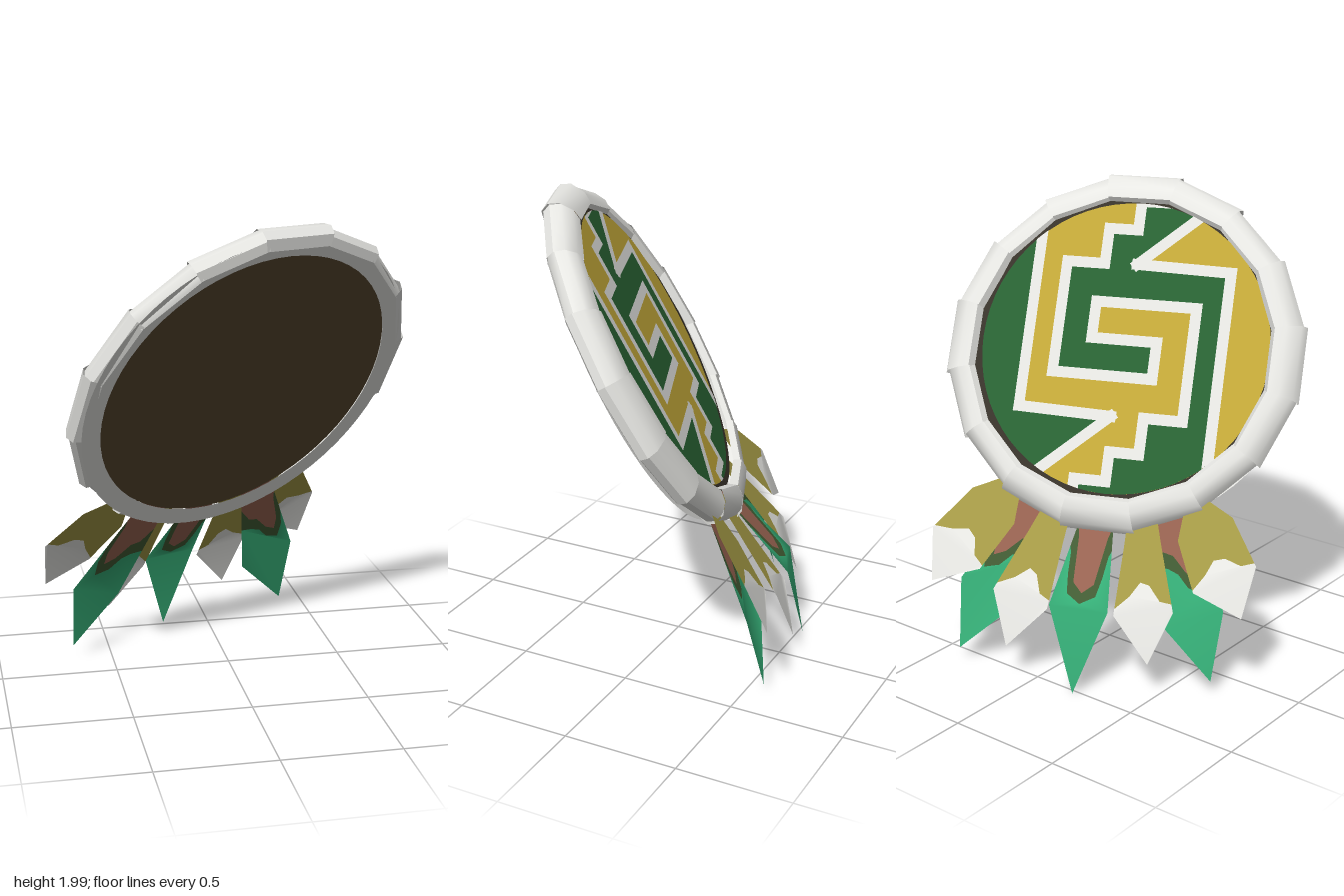
import * as THREE from 'three';
import { toCreasedNormals } from 'three/addons/utils/BufferGeometryUtils.js';

const mat = (name, color, side = THREE.FrontSide) => {
  const m = new THREE.MeshStandardMaterial({ color, side });
  m.name = name;
  return m;
};
const D = THREE.DoubleSide;
const M = {
  rim: mat('bone white', 0xeeeeea, D),
  dark: mat('dark wood', 0x594830),
  edge: mat('dark edge', 0x39342b),
  yellow: mat('ochre yellow', 0xc5aa39),
  green: mat('forest green', 0x296434),
  line: mat('line white', 0xeaeae6),
  teal: mat('feather green', 0x35ad76, D),
  maroon: mat('feather maroon', 0x986351, D),
  moss: mat('feather moss', 0x425c34, D),
  olive: mat('feather olive', 0xa59a46, D),
};

const FACE_R = 0.637, FACE_H = 0.09, N = 64;

function add(parent, name, geometry, material) {
  const mesh = new THREE.Mesh(geometry, material);
  mesh.name = name;
  parent.add(mesh);
  return mesh;
}

const polyGeometry = (pts) => new THREE.ShapeGeometry(new THREE.Shape(pts.map(([x, y]) => new THREE.Vector2(x, y))));

// Cut a polygon to the round face
function clipToFace(pts) {
  const corner = (i) => [FACE_R * Math.cos((i * 2 * Math.PI) / N), FACE_R * Math.sin((i * 2 * Math.PI) / N)];
  let out = pts;
  for (let i = 0; i < N && out.length; i++) {
    const a = corner(i), b = corner(i + 1);
    const side = (p) => (b[0] - a[0]) * (p[1] - a[1]) - (b[1] - a[1]) * (p[0] - a[0]);
    const src = out;
    out = [];
    src.forEach((p, k) => {
      const q = src[(k + 1) % src.length], sp = side(p), sq = side(q);
      if (sp >= 0) out.push(p);
      if ((sp >= 0) !== (sq >= 0)) {
        const t = sp / (sp - sq);
        out.push([p[0] + (q[0] - p[0]) * t, p[1] + (q[1] - p[1]) * t]);
      }
    });
  }
  return out;
}

function addPatch(parent, name, pts, material, h) {
  const clipped = clipToFace(pts);
  if (clipped.length > 2) add(parent, name, polyGeometry(clipped), material).position.z = h;
}

function paintedFace() {
  const g = new THREE.Group();
  g.name = 'paintedFace';
  const lift = ([x, y]) => [x, y + 0.03];
  const turn = ([x, y]) => [-x, -y];

  // Interlocking spiral: one half, the other is the same turned by 180 degrees
  const half = [[-0.145, 0], [-0.145, 0.161], [0.3, 0.161], [0.3, -0.33], [0.13, -0.33],
    [0.13, -0.487], [0, -0.487], [0, -0.615], [-0.14, -0.615], [-0.14, -0.9]];
  const spiral = [...half.map(turn).reverse(), ...half].map(lift);
  const hookRaw = [[0.43, -0.9], [0.43, 0.325], [0.015, 0.335], [0.55, 0.81]];
  const hook = hookRaw.map(lift), hookTurned = hookRaw.map(turn).map(lift);

  add(g, 'faceEdge', new THREE.RingGeometry(FACE_R - 0.002, 0.673, N), M.edge).position.z = FACE_H;
  add(g, 'faceGround', new THREE.CircleGeometry(FACE_R, N), M.yellow).position.z = FACE_H + 0.001;
  addPatch(g, 'greenSide', [...hookTurned, [-1.2, -0.8], [-1.2, 0.9]], M.green, FACE_H + 0.003);
  addPatch(g, 'greenSpiral', [...spiral, ...hook, [0.5, 1.2], [0.14, 1.2]], M.green, FACE_H + 0.003);

  const w = 0.024;
  for (const path of [spiral, hook, hookTurned]) {
    for (let i = 0; i + 1 < path.length; i++) {
      const [ax, ay] = path[i], [bx, by] = path[i + 1];
      const len = Math.hypot(bx - ax, by - ay), dx = ((bx - ax) / len) * w, dy = ((by - ay) / len) * w;
      addPatch(g, 'whiteLine', [[ax - dx + dy, ay - dy - dx], [bx + dx + dy, by + dy - dx],
        [bx + dx - dy, by + dy + dx], [ax - dx - dy, ay - dy + dx]], M.line, FACE_H + 0.006);
    }
  }
  return g;
}

// Rim of sixteen straight sloping pieces, slightly uneven in size and tilted on the board
function rim() {
  const g = new THREE.Group();
  g.name = 'rim';
  const profile = [[0.742, -0.004], [0.778, 0.012], [0.792, 0.05], [0.772, 0.092], [0.725, 0.121],
    [0.675, 0.124], [0.656, 0.098]];
  const grow = [0.012, 0, -0.01, 0.004];
  for (let k = 0; k < 16; k++) {
    const e = grow[k % 4], span = (Math.PI / 8) * 1.05;
    const pts = profile.map(([r, h]) => new THREE.Vector2(r + (r > 0.75 ? e : 0), h + (h > 0.1 ? e / 2 : 0)));
    const mid = Math.PI / 2 + (k * Math.PI) / 8;
    const geo = new THREE.LatheGeometry(pts, 1, mid - span / 2, span);
    geo.rotateX(Math.PI / 2);
    add(g, 'rimPiece', toCreasedNormals(geo, 0.75), M.rim);
  }
  g.position.set(-0.012, -0.01, 0);
  g.rotation.x = -0.028;
  return g;
}

// Arched feather from base to tip, split across into colour bands.
// widths: [along, half width] from base to tip; band curves: [across -1..1, along 0..1].
function feather(name, base, tip, arch, widths, curves, colours) {
  const g = new THREE.Group();
  g.name = name;
  const b = new THREE.Vector3(...base), d = new THREE.Vector3(...tip).sub(b), len = d.length();
  const y = d.normalize(), x = y.clone().cross(new THREE.Vector3(0, 0, 1)).normalize();
  g.quaternion.setFromRotationMatrix(new THREE.Matrix4().makeBasis(x, y, x.clone().cross(y)));
  g.position.copy(b);
  const place = ([t, s]) => {
    const i = Math.max(1, widths.findIndex(([at]) => at >= s));
    const [s0, w0] = widths[i - 1], [s1, w1] = widths[i];
    return [t * (w0 + ((w1 - w0) * (s - s0)) / (s1 - s0)), s * len];
  };
  const along = widths.map(([s]) => s), first = curves[0][0][1];
  const low = along.filter((s) => s < first), high = along.filter((s) => s > first);
  const edges = [
    [...low.map((s) => [-1, s]).reverse(), ...low.map((s) => [1, s])],
    ...curves,
    [...high.map((s) => [-1, s]), ...high.slice(0, -1).map((s) => [1, s]).reverse()],
  ];
  const bend = high[0];
  colours.forEach((m, i) => {
    const geo = polyGeometry([...edges[i], ...[...edges[i + 1]].reverse()].map(place));
    const pos = geo.attributes.position;
    for (let k = 0; k < pos.count; k++) {
      const s = pos.getY(k) / len;
      pos.setZ(k, arch * Math.min(s / bend, (1 - s) / (1 - bend)));
    }
    geo.computeVertexNormals();
    add(g, name + 'Band', geo, m);
  });
  return g;
}

function feathers() {
  const g = new THREE.Group();
  g.name = 'feathers';
  const olive = [[[-1, 0.66], [-0.6, 0.64], [-0.25, 0.54], [0.1, 0.52], [0.5, 0.6], [1, 0.67]]];
  const flame = [
    [[-1, 0.14], [-0.75, 0.21], [-0.55, 0.33], [-0.4, 0.45], [0, 0.5], [0.4, 0.45], [0.55, 0.33], [0.75, 0.21], [1, 0.14]],
    [[-1, 0.27], [-0.87, 0.3], [-0.7, 0.41], [-0.52, 0.51], [0, 0.555], [0.52, 0.51], [0.7, 0.41], [0.87, 0.3], [1, 0.27]],
  ];
  // Side flames reach further down on the outer edge
  const sideFlame = [
    [[-1, 0.2], [-0.6, 0.3], [-0.2, 0.33], [0.15, 0.43], [0.5, 0.48], [0.72, 0.4], [0.85, 0.22], [1, 0.17]],
    [[-1, 0.36], [-0.5, 0.39], [-0.15, 0.43], [0.1, 0.51], [0.55, 0.56], [0.85, 0.47], [1, 0.35]],
  ];
  const mirrored = sideFlame.map((c) => c.map(([t, s]) => [-t, s]).reverse());
  const white = [M.olive, M.rim], green = [M.maroon, M.moss, M.teal];
  const outerW = [[0, 0.03], [0.27, 0.125], [0.69, 0.142], [1, 0]];
  const innerW = [[0, 0.05], [0.3, 0.08], [0.71, 0.127], [1, 0]];
  const sideW = [[0, 0.07], [0.67, 0.133], [1, 0]];
  const middleW = [[0, 0.06], [0.58, 0.128], [1, 0]];
  for (const s of [-1, 1]) {
    g.add(feather('outerWhiteFeather', [s * 0.39 - 0.01, -0.61, 0.07], [s * 0.68 - 0.03, -1.09, 0.1], 0.03, outerW, olive, white));
    g.add(feather('innerWhiteFeather', [s * 0.17 - 0.01, -0.63, 0.06], [s * 0.31 - 0.03, -1.325, 0.09], 0.05, innerW, olive, white));
    g.add(feather('sideGreenFeather', [s * 0.25 - 0.01, -0.6, 0.03], [s * 0.56 - 0.035, -1.36, -0.056], 0.045,
      sideW, s < 0 ? sideFlame : mirrored, green));
  }
  g.add(feather('middleGreenFeather', [-0.02, -0.65, 0.04], [-0.034, -1.485, 0.05], 0.11, middleW, flame, green));
  return g;
}

export function createModel() {
  const model = new THREE.Group();
  model.name = 'featheredShield';
  const shield = new THREE.Group();
  shield.name = 'shield';

  // Wooden disc with a flat ring around its back
  const board = new THREE.CylinderGeometry(0.673, 0.673, 0.088, N);
  board.rotateX(Math.PI / 2);
  add(shield, 'board', board, M.dark).position.z = 0.044;
  add(shield, 'backRing', new THREE.RingGeometry(0.671, 0.755, N), M.rim).position.z = -0.006;

  shield.add(paintedFace(), rim(), feathers());

  // Leaning pose: painted side looks up and back
  const n = new THREE.Vector3(-0.33, 0.467, -0.82).normalize();
  const u = new THREE.Vector3(0, 1, 0).cross(n).normalize();
  shield.quaternion.setFromRotationMatrix(new THREE.Matrix4().makeBasis(u, n.clone().cross(u), n));
  shield.position.set(0.035, 1.295, 0.175);
  model.add(shield);
  return model;
}
